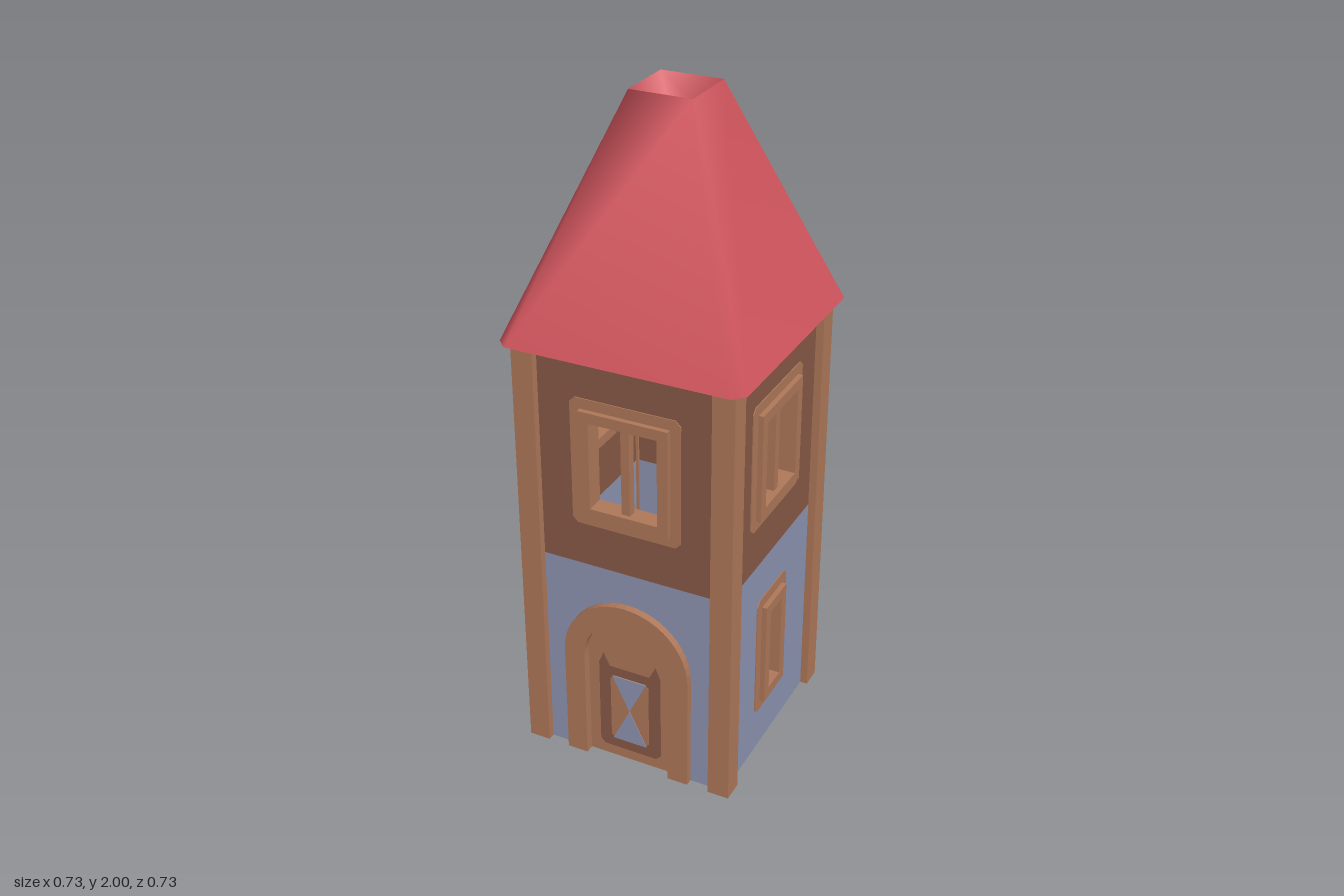
import * as THREE from 'three';

const mat = (name, color, side = THREE.FrontSide) => {
  const m = new THREE.MeshStandardMaterial({ color, side });
  m.name = name;
  return m;
};

// Tower proportions
const POST = 0.333, SPAN = 0.27, WALL = 0.31, THICK = 0.035, MID = 0.67, EAVE = 1.335, TOP = 2;

export function createModel() {
  const wood = mat('light wood', 0xb0785a);
  const brown = mat('dark wood', 0x895a48);
  const blue = mat('blue plaster', 0x8e95b2);
  const red = mat('red roof', 0xd4565f, THREE.DoubleSide);
  const model = new THREE.Group();
  model.name = 'tower';

  const add = (parent, name, geo, material, x = 0, y = 0, z = 0) => {
    const mesh = new THREE.Mesh(geo, material);
    mesh.name = name;
    mesh.position.set(x, y, z);
    parent.add(mesh);
    return mesh;
  };
  const extrude = (shape, depth) =>
    new THREE.ExtrudeGeometry(shape, { depth, bevelEnabled: false, curveSegments: 12 });
  const poly = (pts) => new THREE.Shape(pts.map(([x, y]) => new THREE.Vector2(x, y)));
  const rect = (w, y0, y1) => poly([[-w, y0], [w, y0], [w, y1], [-w, y1]]);
  const rounded = (w, y0, y1, c) => poly([
    [-w + c, y0], [w - c, y0], [w, y0 + c], [w, y1 - c],
    [w - c, y1], [-w + c, y1], [-w, y1 - c], [-w, y0 + c]]);
  const withHole = (shape, hole) => {
    shape.holes.push(hole);
    return shape;
  };

  // Arched outline from the ground up
  const SPRING = 0.367;
  const arch = (r) => {
    const s = new THREE.Shape();
    s.moveTo(-r, 0);
    s.lineTo(-r, SPRING);
    s.absarc(0, SPRING, r, Math.PI, 0, true);
    s.lineTo(r, 0);
    return s;
  };
  // Cuts an arched notch of radius r, walking from right to left
  const notch = (s, r) => {
    s.lineTo(r, 0);
    s.lineTo(r, SPRING);
    s.absarc(0, SPRING, r, 0, Math.PI, false);
    s.lineTo(-r, 0);
    return s;
  };

  // Window: opening half width w, from y0 to y1
  const addWindow = (side, name, w, y0, y1, mullion) => {
    const g = new THREE.Group();
    g.name = name;
    side.add(g);
    const f = 0.032, p = 0.064;
    add(g, 'paintedSurround', extrude(withHole(rounded(w + p, y0 - p, y1 + p, 0.016),
      rect(w + f, y0 - f, y1 + f)), 0.003), wood, 0, 0, WALL);
    add(g, 'windowFrame', extrude(withHole(rect(w + f, y0 - f, y1 + f),
      rect(w, y0, y1)), 0.058), wood, 0, 0, 0.27);
    if (mullion) {
      add(g, 'mullion', new THREE.BoxGeometry(0.026, y1 - y0, 0.026), wood, 0, (y0 + y1) / 2, 0.3);
    }
  };

  // Four walls: front, left, back, right
  ['front', 'left', 'back', 'right'].forEach((name, i) => {
    const side = new THREE.Group();
    side.name = name + 'Side';
    side.rotation.y = i * Math.PI / 2;
    model.add(side);

    let lower = rect(SPAN, 0, MID);
    const upper = rect(SPAN, MID, EAVE);
    if (name === 'front') {
      lower = new THREE.Shape();
      lower.moveTo(-SPAN, 0);
      lower.lineTo(-SPAN, MID);
      lower.lineTo(SPAN, MID);
      lower.lineTo(SPAN, 0);
      notch(lower, 0.165);
    }
    if (name !== 'back') {
      upper.holes.push(rect(0.12, 0.855, 1.155));
      addWindow(side, 'upperWindow', 0.104, 0.87, 1.14, true);
    }
    if (name === 'left' || name === 'right') {
      lower.holes.push(rect(0.055, 0.185, 0.49));
      addWindow(side, 'lowerWindow', 0.04, 0.2, 0.475, false);
    }
    add(side, 'lowerWall', extrude(lower, THICK), blue, 0, 0, WALL - THICK);
    add(side, 'upperWall', extrude(upper, THICK), brown, 0, 0, WALL - THICK);

    // Corner post
    add(side, 'cornerPost', new THREE.BoxGeometry(0.066, EAVE, 0.066), wood, 0.3, EAVE / 2, 0.3);
  });

  // Arched door
  const door = new THREE.Group();
  door.name = 'door';
  model.add(door);
  add(door, 'doorFrame', extrude(notch(arch(0.2), 0.135), 0.073), wood, 0, 0, 0.26);
  add(door, 'doorPanel', extrude(arch(0.137), 0.02), wood, 0, 0, 0.285);
  // Painted panel with an hourglass, on both faces of the door
  for (const turn of [0, Math.PI]) {
    const paint = new THREE.Group();
    paint.name = turn ? 'innerDoorPaint' : 'outerDoorPaint';
    paint.position.z = 0.295;
    paint.rotation.y = turn;
    door.add(paint);
    const surround = poly([
      [-0.085, 0.035], [0.085, 0.035], [0.1, 0.05], [0.1, 0.335], [0.085, 0.372],
      [0.065, 0.33], [-0.065, 0.33], [-0.085, 0.372], [-0.1, 0.335], [-0.1, 0.05]]);
    add(paint, 'darkSurround', extrude(surround, 0.003), brown, 0, 0, 0.01);
    add(paint, 'paleField', extrude(rounded(0.062, 0.07, 0.3, 0.012), 0.002), wood, 0, 0, 0.013);
    for (const y of [0.07, 0.3]) {
      add(paint, 'hourglassHalf', extrude(poly([[-0.055, y], [0.055, y], [0, 0.185]]), 0.002),
        blue, 0, 0, 0.015);
    }
  }

  // Roof: chamfered square eave drawn in to a small square top
  const roof = new THREE.Group();
  roof.name = 'roof';
  model.add(roof);
  const E = 0.365, C = 0.333, T = 0.092;
  const eave = [], top = [], index = [];
  const turned = (x, z, k) => {
    for (let j = 0; j < k; j++) [x, z] = [z, -x];
    return [x, z];
  };
  for (let k = 0; k < 4; k++) {
    eave.push(turned(-E, C, k), turned(-C, E, k));
    top.push(turned(-T, T, k));
    const a = 2 * k, b = a + 1, c = (a + 2) % 8, t = 8 + k, u = 8 + (k + 1) % 4;
    index.push(a, b, t, b, c, u, b, u, t);
  }
  const slopes = new THREE.BufferGeometry();
  slopes.setAttribute('position', new THREE.Float32BufferAttribute([
    ...eave.flatMap(([x, z]) => [x, EAVE, z]),
    ...top.flatMap(([x, z]) => [x, TOP, z])], 3));
  slopes.setIndex(index);
  slopes.computeVertexNormals();
  add(roof, 'roofSlopes', slopes, red);
  add(roof, 'roofUnderside', new THREE.ShapeGeometry(poly(eave)).rotateX(Math.PI / 2), red, 0, EAVE, 0);

  // Hollow in the roof top
  const depth = 0.08, inner = 0.047;
  add(roof, 'topHollow', new THREE.CylinderGeometry(T * Math.SQRT2, inner * Math.SQRT2, depth, 4, 1, true)
    .rotateY(Math.PI / 4), red, 0, TOP - depth / 2, 0);
  add(roof, 'hollowFloor', new THREE.PlaneGeometry(inner * 2, inner * 2).rotateX(-Math.PI / 2),
    red, 0, TOP - depth, 0);

  return model;
}
